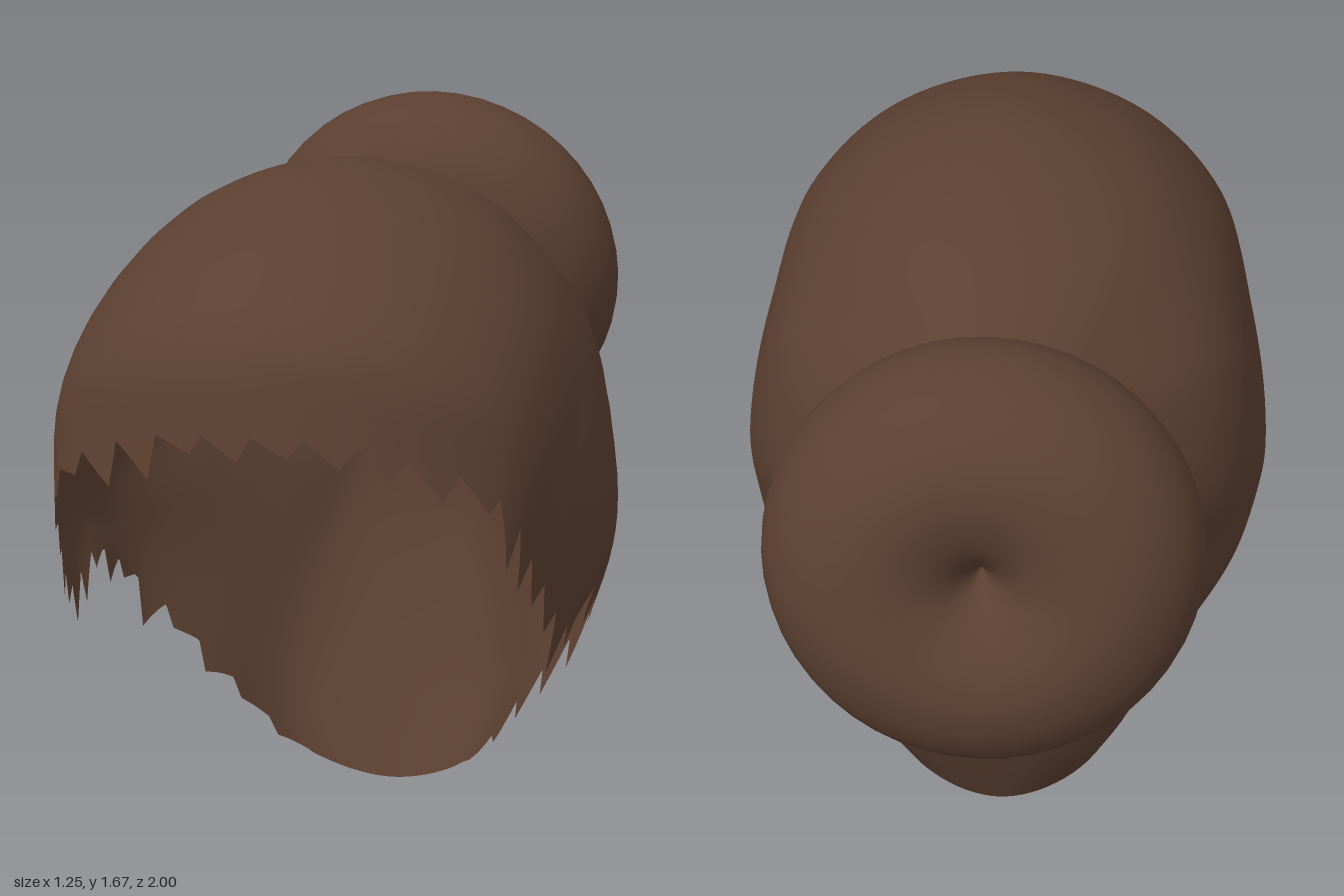
import * as THREE from 'three';

const hairBrown = new THREE.MeshStandardMaterial({ color: 0x5c4031, side: THREE.DoubleSide });
hairBrown.name = 'hairBrown';
const bandRed = new THREE.MeshStandardMaterial({ color: 0x92203a });
bandRed.name = 'bandRed';

const BACK_TILT = -1.36; // turns +y to the bun axis, pointing backwards

function seeded(seed) {
  return () => (seed = (seed * 16807) % 2147483647) / 2147483647;
}

// Strands running from the tie to the hairline, from the crown round the left side to the nape
const STRANDS = [
  [[0, 1.59, -0.05], [0, 1.642, 0.4], [0, 1.41, 0.92], [0, 1.16, 0.995]],
  [[0.25, 1.535, -0.03], [0.3, 1.555, 0.38], [0.29, 1.36, 0.86], [0.26, 1.13, 0.94]],
  [[0.41, 1.4, -0.03], [0.49, 1.375, 0.35], [0.495, 1.22, 0.72], [0.48, 1.01, 0.81]],
  [[0.5, 1.25, -0.08], [0.575, 1.15, 0.27], [0.575, 1.0, 0.55], [0.53, 0.82, 0.68]],
  [[0.51, 1.08, -0.16], [0.61, 0.97, 0.12], [0.615, 0.82, 0.39], [0.565, 0.65, 0.51]],
  [[0.48, 0.95, -0.22], [0.595, 0.86, 0.01], [0.62, 0.77, 0.19], [0.58, 0.68, 0.29]],
  [[0.38, 0.84, -0.29], [0.51, 0.74, -0.1], [0.565, 0.65, 0.02], [0.55, 0.55, 0.1]],
  [[0.25, 0.73, -0.37], [0.36, 0.56, -0.24], [0.405, 0.43, -0.12], [0.39, 0.32, 0.0]],
  [[0.15, 0.66, -0.43], [0.21, 0.42, -0.34], [0.23, 0.23, -0.255], [0.2, 0.07, -0.16]],
  [[0, 0.65, -0.445], [0, 0.4, -0.37], [0, 0.18, -0.28], [0, 0, -0.2]],
];

// Hair shell, open at the tie and along the ragged hairline
function hairShell() {
  const rows = 18, cols = 180, tooth = 4, half = STRANDS.length - 1;
  const curves = [];
  for (let k = 0; k < half * 2; k++) {
    const m = k <= half ? k : half * 2 - k;
    const side = k <= half ? 1 : -1;
    const a = (m / half) * Math.PI;
    const tie = new THREE.Vector3(
      side * 0.228 * Math.sin(a), 1.155 + 0.255 * Math.cos(a), -0.425 + 0.053 * Math.cos(a));
    curves.push(new THREE.CatmullRomCurve3(
      [tie, ...STRANDS[m].map(([x, y, z]) => new THREE.Vector3(side * x, y, z))]));
  }

  const grid = [];
  for (let i = 0; i <= rows; i++) {
    const loop = new THREE.CatmullRomCurve3(curves.map((c) => c.getPoint(i / rows)), true);
    grid.push(Array.from({ length: cols }, (_, j) => loop.getPoint(j / cols)));
  }

  // Saw teeth on the last row, fading out at the nape tip
  const random = seeded(77);
  let height = 0;
  for (let j = 0; j < cols; j++) {
    if (j % tooth === 0) height = 0.04 + 0.08 * random();
    const fromNape = Math.abs(j / cols - 0.5) * 2;
    const fade = THREE.MathUtils.smoothstep(fromNape, 0.08, 0.26);
    const along = grid[rows][j].clone().sub(grid[rows - 1][j]).normalize();
    grid[rows][j].addScaledVector(along, fade * (height * (j % tooth) / (tooth - 1) - 0.04));
  }

  const index = [];
  for (let i = 0; i < rows; i++) {
    for (let j = 0; j < cols; j++) {
      const n = (j + 1) % cols;
      const a = i * cols + j, b = a + cols, c = i * cols + n, d = c + cols;
      index.push(a, b, c, c, b, d);
    }
  }
  const geometry = new THREE.BufferGeometry().setFromPoints(grid.flat());
  geometry.setIndex(index);
  geometry.computeVertexNormals();
  return geometry;
}

// Bun: a cushion with a dimple in both faces
function bunGeometry() {
  const face = [[0.001, 0.07], [0.03, 0.13], [0.1, 0.2], [0.22, 0.237], [0.34, 0.21], [0.435, 0.125]];
  const profile = [
    ...face.map(([r, h]) => new THREE.Vector2(r, -h)),
    new THREE.Vector2(0.472, 0),
    ...face.slice().reverse().map(([r, h]) => new THREE.Vector2(r, h)),
  ];
  return new THREE.LatheGeometry(new THREE.SplineCurve(profile).getPoints(40), 48);
}

// Hair tie: a ring whose two-lobed section twists like a rope
function tieGeometry() {
  const radius = 0.248, around = 224, section = 16;
  const geometry = new THREE.TorusGeometry(radius, 0.04, section, around);
  const p = geometry.attributes.position;
  for (let i = 0; i < p.count; i++) {
    const u = (i % (around + 1)) / around * Math.PI * 2;
    const v = Math.floor(i / (around + 1)) / section * Math.PI * 2;
    const r = 0.034 + 0.003 * Math.cos(2 * v - 26 * u);
    const ring = radius + r * Math.cos(v);
    p.setXYZ(i, ring * Math.cos(u), ring * Math.sin(u), r * 1.35 * Math.sin(v));
  }
  geometry.computeVertexNormals();
  geometry.rotateX(Math.PI / 2);
  return geometry;
}

export function createModel() {
  const model = new THREE.Group();
  model.name = 'hairWithBun';
  const add = (name, geometry, material, y, z, tilt) => {
    const mesh = new THREE.Mesh(geometry, material);
    mesh.name = name;
    mesh.position.set(0, y, z);
    mesh.rotation.x = tilt;
    model.add(mesh);
  };
  add('hairShell', hairShell(), hairBrown, 0, 0, 0);
  add('hairTie', tieGeometry(), bandRed, 1.155, -0.45, BACK_TILT);
  add('bun', bunGeometry(), hairBrown, 1.2, -0.715, BACK_TILT);
  return model;
}
